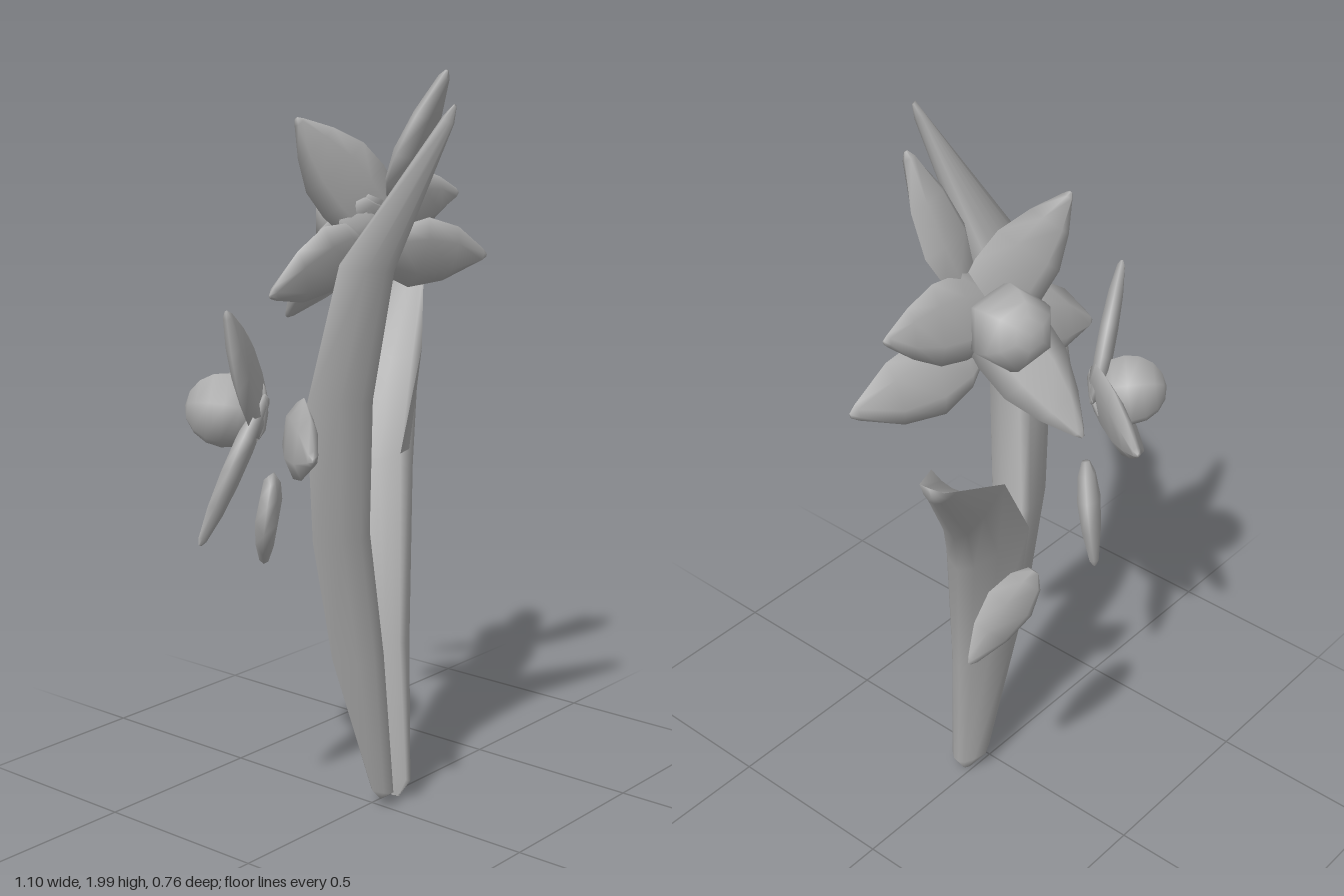
import * as THREE from 'three';

const V = (a) => new THREE.Vector3(...a);

// Closed solid through a list of equal-sized rings, capped at both ends
function loft(rings) {
  const n = rings[0].length;
  const pts = rings.flat();
  const idx = [];
  for (let i = 0; i < rings.length - 1; i++) {
    for (let j = 0; j < n; j++) {
      const a = i * n + j, b = i * n + (j + 1) % n;
      idx.push(a, b, b + n, a, b + n, a + n);
    }
  }
  const last = (rings.length - 1) * n;
  for (let j = 1; j < n - 1; j++) {
    idx.push(0, j + 1, j);
    idx.push(last, last + j, last + j + 1);
  }
  // Turn all faces outward by the sign of the volume
  let volume = 0;
  const c = new THREE.Vector3();
  for (let i = 0; i < idx.length; i += 3) {
    volume += pts[idx[i]].dot(c.crossVectors(pts[idx[i + 1]], pts[idx[i + 2]]));
  }
  if (volume < 0) idx.reverse();
  const g = new THREE.BufferGeometry().setFromPoints(pts);
  g.setIndex(idx);
  g.computeVertexNormals();
  return g;
}

// Leaf: each section has two rims and a keel; hollow > 0 makes a channel, < 0 a bulge
function leafGeometry(sections, hollow) {
  const steps = 6;
  return loft(sections.map(([f, k, b]) => {
    const F = V(f), K = V(k), B = V(b);
    const mid = F.clone().add(B).multiplyScalar(0.5);
    const arc = (depth) => {
      const peak = mid.clone().lerp(K, depth);
      const control = peak.multiplyScalar(2).sub(mid);
      return new THREE.QuadraticBezierCurve3(F, control, B).getPoints(steps);
    };
    const inner = arc(hollow).reverse().slice(1, -1);
    return [...arc(1), ...inner];
  }));
}

// Petal: flattened spindle from start to tip, lying across the given normal
function petalGeometry(start, tip, normal, profile, width) {
  const S = V(start), T = V(tip);
  const dir = T.clone().sub(S).normalize();
  const side = new THREE.Vector3().crossVectors(normal, dir).normalize();
  const up = new THREE.Vector3().crossVectors(dir, side);
  return loft(profile.map(([t, w, h]) => {
    const ring = [];
    for (let j = 0; j < 6; j++) {
      const a = j * Math.PI / 3;
      ring.push(S.clone().lerp(T, t)
        .addScaledVector(side, Math.cos(a) * w * width)
        .addScaledVector(up, Math.sin(a) * h));
    }
    return ring;
  }));
}

// Petal profiles: [position along petal, relative half-width, half-thickness]
const INNER = [[-0.1, 0.6, 0.015], [0.05, 0.95, 0.022], [0.25, 1.06, 0.026], [0.5, 1, 0.026], [0.75, 0.62, 0.022], [0.96, 0.16, 0.012], [1, 0.05, 0.004]];
const OUTER = [[0, 0.25, 0.012], [0.12, 0.7, 0.026], [0.36, 1, 0.034], [0.66, 0.78, 0.028], [0.95, 0.2, 0.014], [1, 0.06, 0.004]];

export function createModel() {
  const root = new THREE.Group();
  root.name = 'flowerPlant';
  const grey = new THREE.MeshStandardMaterial({ color: 0xb0b0b0 });
  grey.name = 'plain grey';

  const add = (parent, geometry, name) => {
    const m = new THREE.Mesh(geometry, grey);
    m.name = name;
    parent.add(m);
    return m;
  };

  // Tall leaf leaning right and forward
  add(root, leafGeometry([
    [[0.0, 0.03, 0.03], [0.02, 0.03, 0.03], [0.03, 0.03, 0.01]],
    [[-0.045, 0.07, 0.04], [0.02, 0.05, 0.06], [0.045, 0.06, -0.02]],
    [[-0.2, 0.49, 0.03], [-0.06, 0.46, 0.09], [0.0, 0.5, -0.045]],
    [[-0.285, 0.83, 0.04], [-0.13, 0.83, 0.1], [-0.075, 0.88, -0.05]],
    [[-0.35, 1.2, 0.08], [-0.19, 1.2, 0.16], [-0.112, 1.2, -0.01]],
    [[-0.325, 1.55, 0.165], [-0.18, 1.53, 0.22], [-0.12, 1.55, 0.09]],
    [[-0.16, 1.9, 0.35], [-0.135, 1.89, 0.365], [-0.118, 1.91, 0.33]],
    [[-0.145, 1.935, 0.37], [-0.135, 1.93, 0.372], [-0.125, 1.935, 0.36]],
  ], -0.2), 'tallLeaf');

  // Bent channelled leaf arching left and back
  add(root, leafGeometry([
    [[0.08, 0.01, 0.03], [0.09, 0.01, 0.02], [0.075, 0.01, 0.01]],
    [[0.075, 0.07, 0.075], [0.115, 0.05, 0.02], [0.05, 0.07, -0.03]],
    [[0.065, 0.47, 0.065], [0.14, 0.45, -0.01], [0.01, 0.47, -0.085]],
    [[0.12, 1.0, 0.03], [0.22, 0.88, -0.08], [0.05, 0.97, -0.18]],
    [[0.3, 1.24, -0.07], [0.32, 1.08, -0.16], [0.25, 1.26, -0.265]],
    [[0.535, 1.41, -0.25], [0.53, 1.37, -0.29], [0.5, 1.41, -0.335]],
    [[0.548, 1.425, -0.29], [0.548, 1.4, -0.305], [0.54, 1.425, -0.33]],
  ], 0.25), 'archedLeaf');

  // Flowers: cup, inner star petals and loose outer petals [start, tip, facing]
  const flowers = [
    {
      name: 'upperFlower', cup: [0.12, 1.605, -0.17], radius: 0.108,
      centre: [0.11, 1.62, -0.09], normal: [0.34, 0.3, -0.88],
      inner: [[-0.1, 1.88, -0.17], [0.43, 1.66, -0.05], [0.05, 1.33, -0.345]],
      outer: [
        [[0.14, 1.67, -0.05], [0.175, 2.0, 0.105], [-0.25, 0.4, -0.87]],
        [[0.15, 1.52, -0.1], [0.51, 1.48, -0.01], [0.34, 0.3, -0.88]],
        [[0.05, 1.56, -0.09], [-0.25, 1.44, -0.13], [0.25, 0.35, -0.88]],
      ],
    },
    {
      name: 'lowerFlower', cup: [-0.395, 1.165, -0.155], radius: 0.102,
      centre: [-0.34, 1.16, -0.09], normal: [-0.63, 0.14, -0.76],
      inner: [[-0.535, 1.45, -0.01], [-0.14, 1.19, -0.38], [-0.55, 0.855, -0.1]],
      outer: [
        [[-0.41, 1.16, 0.08], [-0.55, 1.13, 0.28], [-0.63, 0.14, -0.76]],
        [[-0.28, 0.97, -0.105], [-0.2, 0.71, -0.21], [-0.6, 0.14, -0.76]],
      ],
    },
  ];
  for (const f of flowers) {
    const group = new THREE.Group();
    group.name = f.name;
    root.add(group);
    const normal = V(f.normal).normalize();
    const cup = add(group, new THREE.SphereGeometry(f.radius, 6, 8), 'cup');
    cup.position.set(...f.cup);
    cup.quaternion.setFromUnitVectors(new THREE.Vector3(0, 1, 0), normal);
    for (const tip of f.inner) add(group, petalGeometry(f.centre, tip, normal, INNER, 0.1), 'innerPetal');
    for (const [start, tip, facing] of f.outer) add(group, petalGeometry(start, tip, V(facing), OUTER, 0.104), 'outerPetal');
  }

  // Single loose petal behind the arched leaf
  add(root, petalGeometry([0.19, 0.98, -0.31], [0.39, 0.78, -0.27], V([0.2, 0.2, -0.95]), OUTER, 0.085), 'loosePetal');

  return root;
}
